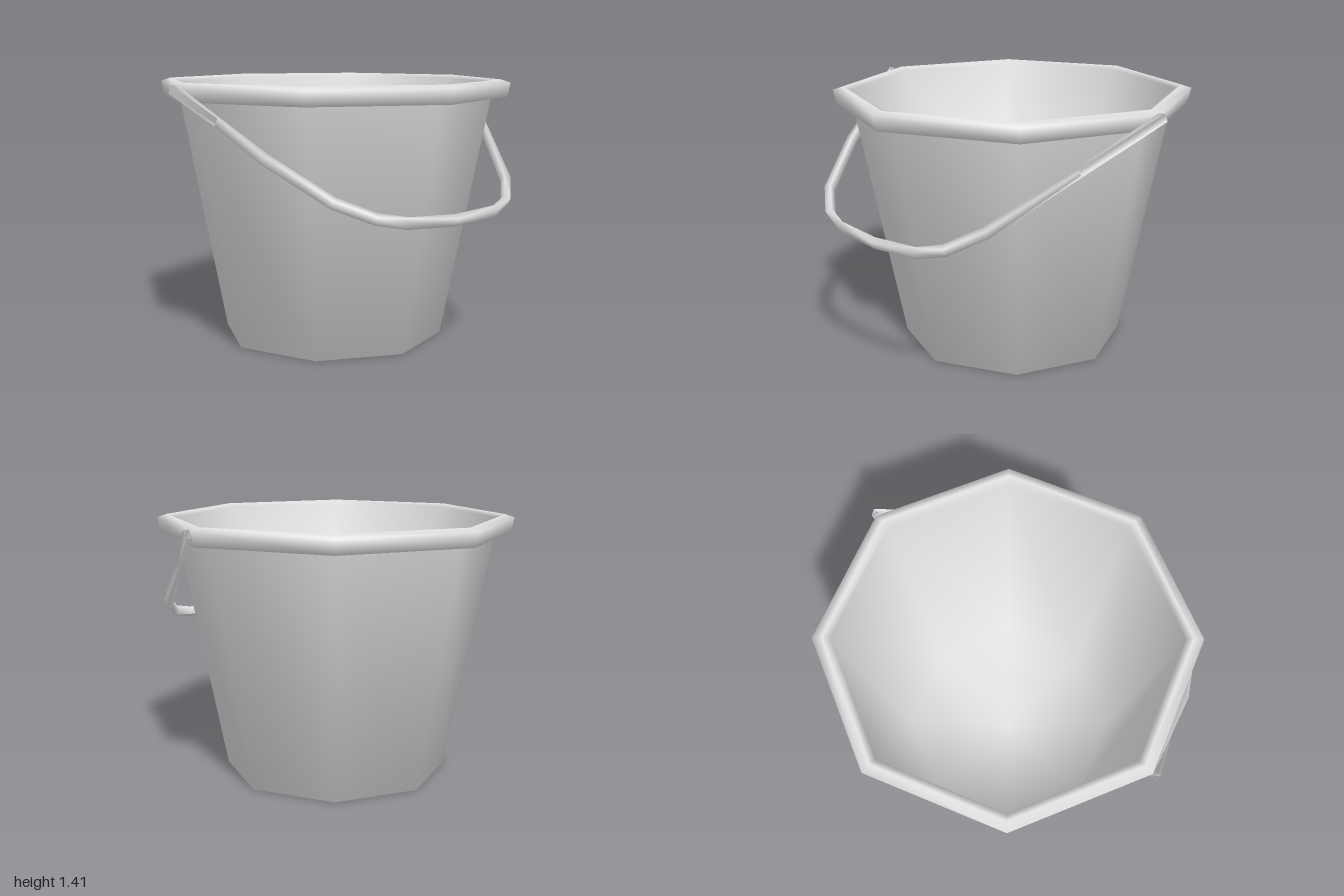
import * as THREE from 'three';
import { mergeVertices } from 'three/addons/utils/BufferGeometryUtils.js';

const metal = new THREE.MeshStandardMaterial({ color: 0xe4e4e4, side: THREE.DoubleSide });
metal.name = 'light grey metal';

function add(group, name, geometry) {
  const mesh = new THREE.Mesh(geometry, metal);
  mesh.name = name;
  group.add(mesh);
  return mesh;
}

// Flat bar of even thickness along a path, mitred at the bends, softly shaded
function barGeometry(path, thickness, depth) {
  const last = path.length - 1;
  const sides = path.map((p, i) => {
    if (i === 0 || i === last) return new THREE.Vector2(i ? -1 : 1, 0); // ends are cut level
    const a = p.clone().sub(path[i - 1]).normalize();
    const b = path[i + 1].clone().sub(p).normalize();
    const t = a.add(b).normalize();
    return new THREE.Vector2(t.y, -t.x);
  });
  const offset = (d) => path.map((p, i) => p.clone().addScaledVector(sides[i], d));
  const outline = [...offset(thickness / 2), ...offset(-thickness / 2).reverse()];
  const bar = new THREE.ExtrudeGeometry(new THREE.Shape(outline), { depth, bevelEnabled: false });
  bar.translate(0, 0, -depth / 2);
  bar.deleteAttribute('normal');
  bar.deleteAttribute('uv');
  const smooth = mergeVertices(bar);
  smooth.computeVertexNormals();
  return smooth;
}

export function createModel() {
  const model = new THREE.Group();
  model.name = 'bucket';

  // Eight-sided pail: base, outer wall, rolled rim, inner wall and floor
  const profile = [
    [0, 0], [0.61, 0], [0.865, 1.32],
    [0.95, 1.32], [0.967, 1.397], [0.915, 1.414], [0.876, 1.395],
    [0.603, 0.01], [0, 0.01],
  ].map(([r, y]) => new THREE.Vector2(r, y));
  const pail = add(model, 'pail', new THREE.LatheGeometry(profile, 8));
  pail.position.x = -0.025;

  // Bail handle, drawn flat as [z, distance from the hinge line]
  const path = [
    [0.982, 0], [0.78, 0.583], [0.6, 0.94], [0.44, 1.08], [0.285, 1.137], [0, 1.16],
    [-0.285, 1.137], [-0.42, 1.075], [-0.56, 0.915], [-0.982, 0],
  ].map(([z, s]) => new THREE.Vector2(z, -s));
  const handle = add(model, 'handle', barGeometry(path, 0.036, 0.048));

  // Swing it down to the model's left
  const down = new THREE.Vector3(0.847, -0.532, 0).normalize();
  const across = new THREE.Vector3(0, 0, 1);
  const up = down.clone().negate();
  handle.quaternion.setFromRotationMatrix(
    new THREE.Matrix4().makeBasis(across, up, across.clone().cross(up)));
  handle.position.set(-0.02, 1.385, 0);

  return model;
}
